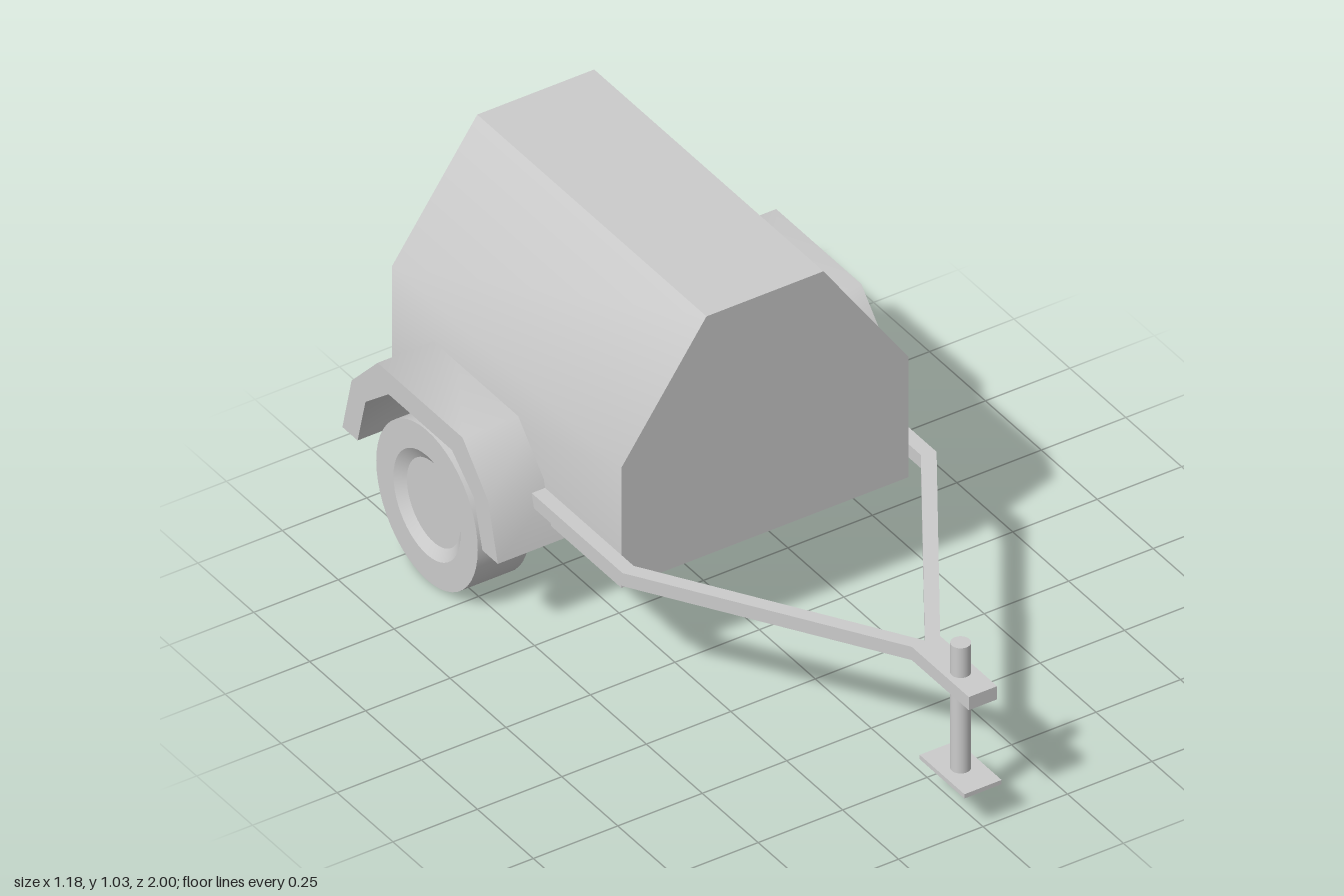
import * as THREE from 'three';
import { toCreasedNormals } from 'three/addons/utils/BufferGeometryUtils.js';

const material = new THREE.MeshStandardMaterial({ color: 0xcccccc });

function part(name, geometry, x = 0, y = 0, z = 0) {
  const mesh = new THREE.Mesh(geometry, material);
  mesh.name = name;
  mesh.position.set(x, y, z);
  return mesh;
}

function extrude(points, depth) {
  const shape = new THREE.Shape(points.map(([x, y]) => new THREE.Vector2(x, y)));
  return new THREE.ExtrudeGeometry(shape, { depth, bevelEnabled: false });
}

// Outline given for +x, closed by its mirror image
const mirrored = (half) => [...half, ...half.filter(([x]) => x !== 0).reverse().map(([x, y]) => [-x, y])];

export function createModel() {
  const trailer = new THREE.Group();
  trailer.name = 'trailer';

  // Enclosed body with sloping shoulders
  const section = mirrored([[0.425, 0.31], [0.425, 0.675], [0.173, 1.035]]);
  trailer.add(part('body', toCreasedNormals(extrude(section, 1.025), 0.8), 0, 0, -1));

  // Y-shaped drawbar, drawn in plan (x, z)
  const plan = mirrored([
    [0.042, 1], [0.042, 0.745], [0.465, 0.09], [0.465, -0.395],
    [0.425, -0.395], [0.425, 0.08], [0, 0.74],
  ]);
  trailer.add(part('drawbar', extrude(plan, 0.04).rotateX(Math.PI / 2), 0, 0.41, 0));

  // Jack post and foot
  trailer.add(part('jackPost', new THREE.CylinderGeometry(0.026, 0.026, 0.385, 32), 0, 0.3075, 0.9));
  trailer.add(part('jackFoot', new THREE.BoxGeometry(0.11, 0.013, 0.2), 0, 0.1135, 0.9));

  // Fender band, drawn from the side as (-z, y)
  const band = [
    [0.278, 0.267], [0.347, 0.267], [0.385, 0.405], [0.483, 0.49], [0.767, 0.49], [0.87, 0.405],
    [0.905, 0.267], [0.973, 0.267], [0.932, 0.433], [0.816, 0.556], [0.436, 0.556], [0.322, 0.433],
  ];
  const fender = toCreasedNormals(extrude(band, 0.235).rotateY(Math.PI / 2), 0.88);

  // Wheel with a dished outer face
  const profile = [[0, -0.077], [0.227, -0.077], [0.227, 0.077], [0.15, 0.077], [0.12, 0.057], [0, 0.057]];
  const wheel = toCreasedNormals(
    new THREE.LatheGeometry(profile.map(([r, y]) => new THREE.Vector2(r, y)), 48), 0.5);

  for (const [label, side] of [['left', 1], ['right', -1]]) {
    trailer.add(part(label + 'Fender', fender, side > 0 ? 0.355 : -0.59));
    const mesh = part(label + 'Wheel', wheel, side * 0.491, 0.227, -0.628);
    mesh.rotation.z = -side * Math.PI / 2;
    trailer.add(mesh);
  }
  return trailer;
}
